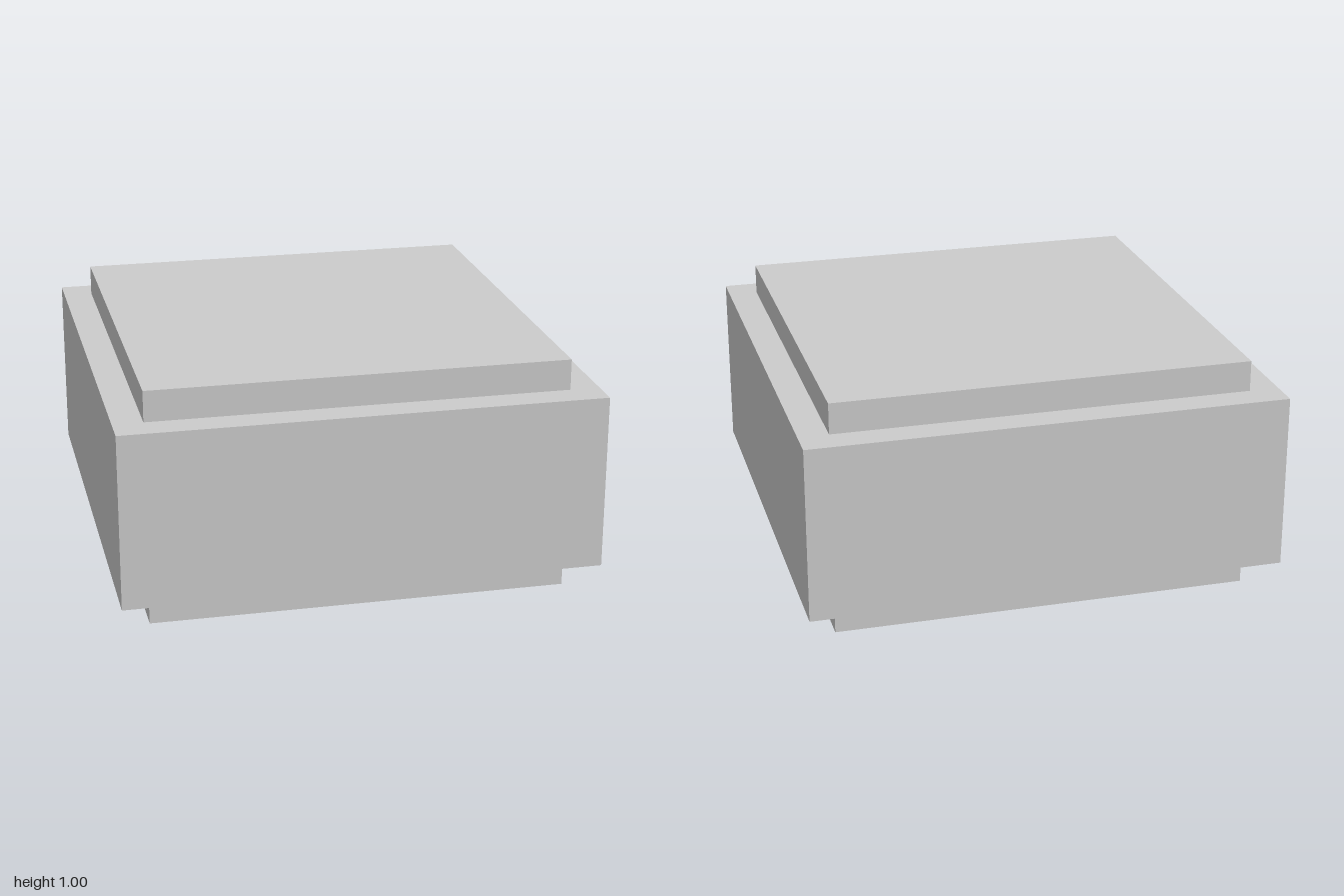
import * as THREE from 'three';

export function createModel() {
  const model = new THREE.Group();
  model.name = 'steppedBlock';
  const material = new THREE.MeshStandardMaterial({ color: 0xcccccc, flatShading: true });

  // Square slab spanning the heights y0 to y1
  function addSlab(name, width, y0, y1) {
    const mesh = new THREE.Mesh(new THREE.BoxGeometry(width, y1 - y0, width), material);
    mesh.name = name;
    mesh.position.y = (y0 + y1) / 2;
    model.add(mesh);
  }

  const inset = 0.13; // height of each plate
  const plateWidth = 1.75;

  addSlab('basePlate', plateWidth, 0, inset);
  addSlab('body', 2, inset, 1 - inset);
  addSlab('topPlate', plateWidth, 1 - inset, 1);

  return model;
}
